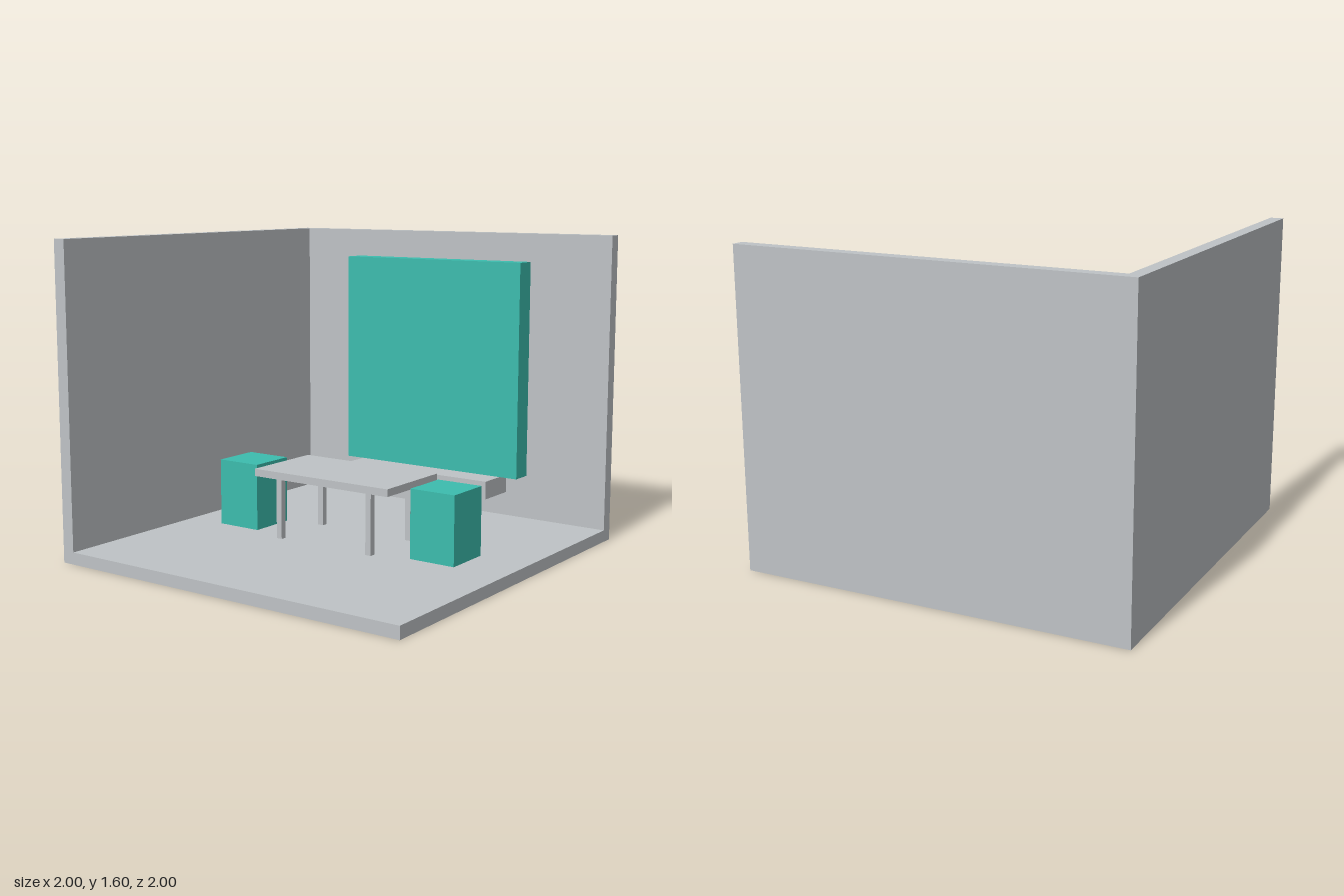
import * as THREE from 'three';

export function createModel() {
  const group = new THREE.Group();
  const grey = new THREE.MeshStandardMaterial({ color: 0xbfc3c6 });
  grey.name = 'pale grey';
  const teal = new THREE.MeshStandardMaterial({ color: 0x3cbdae });
  teal.name = 'teal';

  // Box given by its lower and upper limits on each axis
  function box(name, material, [x0, x1], [y0, y1], [z0, z1], parent = group) {
    const mesh = new THREE.Mesh(new THREE.BoxGeometry(x1 - x0, y1 - y0, z1 - z0), material);
    mesh.position.set((x0 + x1) / 2, (y0 + y1) / 2, (z0 + z1) / 2);
    mesh.name = name;
    parent.add(mesh);
    return mesh;
  }

  const floorY = 0.062, wallY = 1.6, wallIn = -0.933;

  // Room shell: floor and two walls
  box('floor', grey, [-1, 1], [0, floorY], [-1, 1]);
  box('backWall', grey, [-1, 1], [floorY, wallY], [-1, wallIn]);
  box('sideWall', grey, [-1, wallIn], [floorY, wallY], [wallIn, 1]);

  // Wall panel and the shelf beneath it
  box('wallPanel', teal, [-0.55, 0.55], [0.302, 1.453], [-0.907, -0.795]);
  box('shelf', grey, [-0.447, 0.447], [0.206, 0.302], [-0.87, -0.65]);

  // Table with four legs
  const table = new THREE.Group();
  table.name = 'table';
  group.add(table);
  box('tableTop', grey, [-0.41, 0.41], [0.378, 0.416], [-0.224, 0.224], table);
  for (const x of [-0.277, 0.277]) {
    for (const z of [-0.174, 0.178]) {
      box('tableLeg', grey, [x - 0.016, x + 0.016], [floorY, 0.378], [z - 0.016, z + 0.016], table);
    }
  }

  // Block stools at both ends of the table
  for (const x of [-0.602, 0.602]) {
    box('stool', teal, [x - 0.124, x + 0.124], [floorY, 0.411], [-0.126, 0.126]);
  }

  return group;
}
